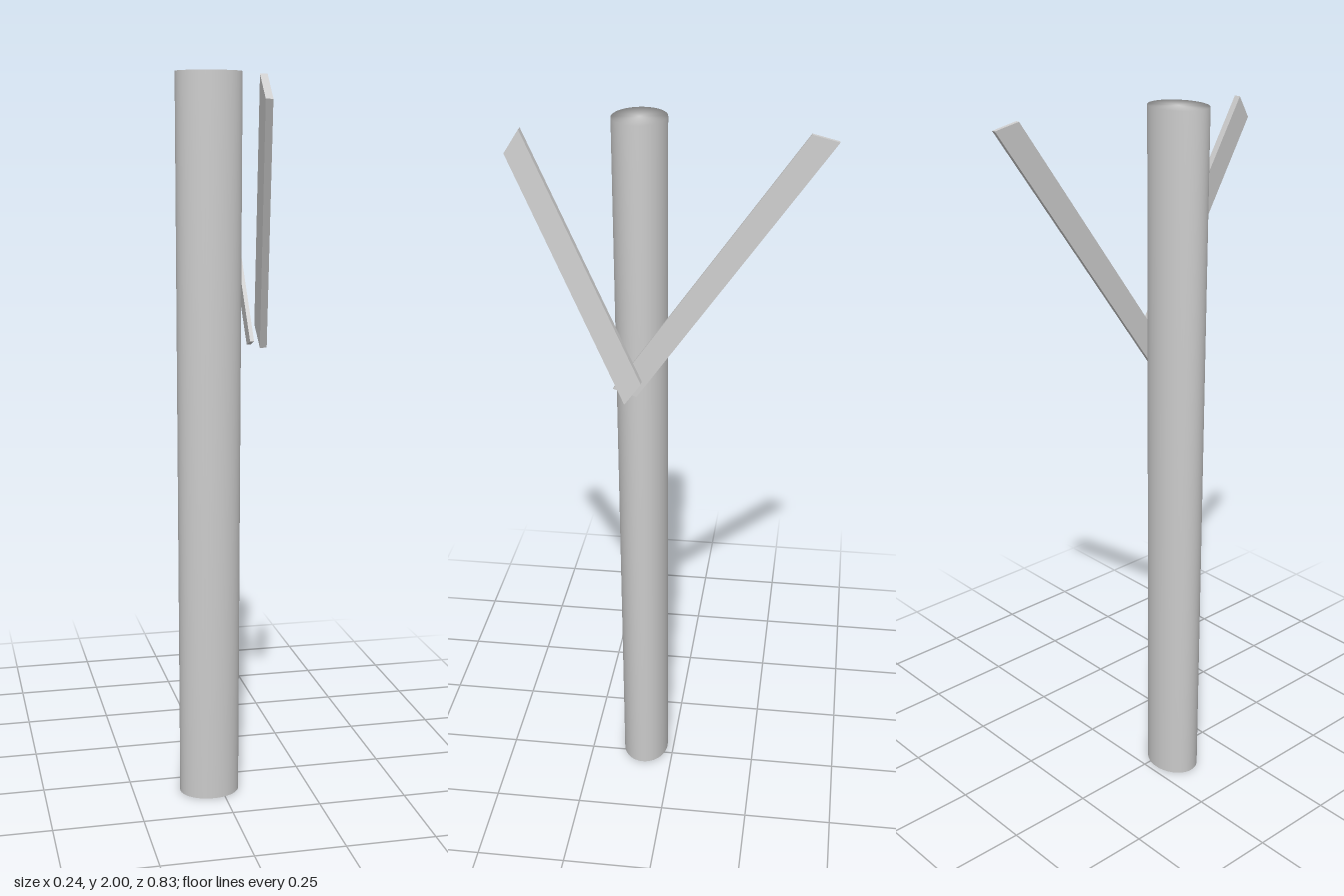
import * as THREE from 'three';
import { mergeVertices } from 'three/addons/utils/BufferGeometryUtils.js';

const material = new THREE.MeshStandardMaterial({ color: 0xcccccc });

// Thin slat between a low and a high end; each end lists its back and front
// edge as [x of inner side, y, z]
function slat(name, thickness, low, high) {
  const geometry = new THREE.BoxGeometry(1, 1, 1);
  const p = geometry.attributes.position;
  for (let i = 0; i < p.count; i++) {
    const end = p.getY(i) > 0 ? high : low;
    const [x, y, z] = end[p.getZ(i) > 0 ? 1 : 0];
    p.setXYZ(i, x + (p.getX(i) > 0 ? thickness : 0), y, z);
  }
  geometry.computeVertexNormals();
  const mesh = new THREE.Mesh(geometry, material);
  mesh.name = name;
  return mesh;
}

export function createModel() {
  const group = new THREE.Group();
  group.name = 'postWithBraces';

  // Oval post, very slightly wider at the top, shaded smoothly over its rims
  let postGeometry = new THREE.CylinderGeometry(0.089, 0.084, 2, 48);
  postGeometry.scale(1, 1, 0.8);
  postGeometry.deleteAttribute('normal');
  postGeometry.deleteAttribute('uv');
  postGeometry = mergeVertices(postGeometry);
  postGeometry.computeVertexNormals();
  const post = new THREE.Mesh(postGeometry, material);
  post.name = 'post';
  post.position.set(-0.033, 1, 0.086);
  group.add(post);

  // Long brace leaning to the back
  group.add(slat('backBrace', 0.011,
    [[0.072, 1.283, 0.085], [0.066, 1.3, 0.149]],
    [[0.072, 1.985, -0.413], [0.066, 2.0, -0.345]]));

  // Shorter brace leaning to the front and in towards the post
  group.add(slat('frontBrace', 0.019,
    [[0.097, 1.336, 0.068], [0.102, 1.277, 0.112]],
    [[0.032, 1.98, 0.375], [0.037, 1.92, 0.414]]));

  return group;
}
